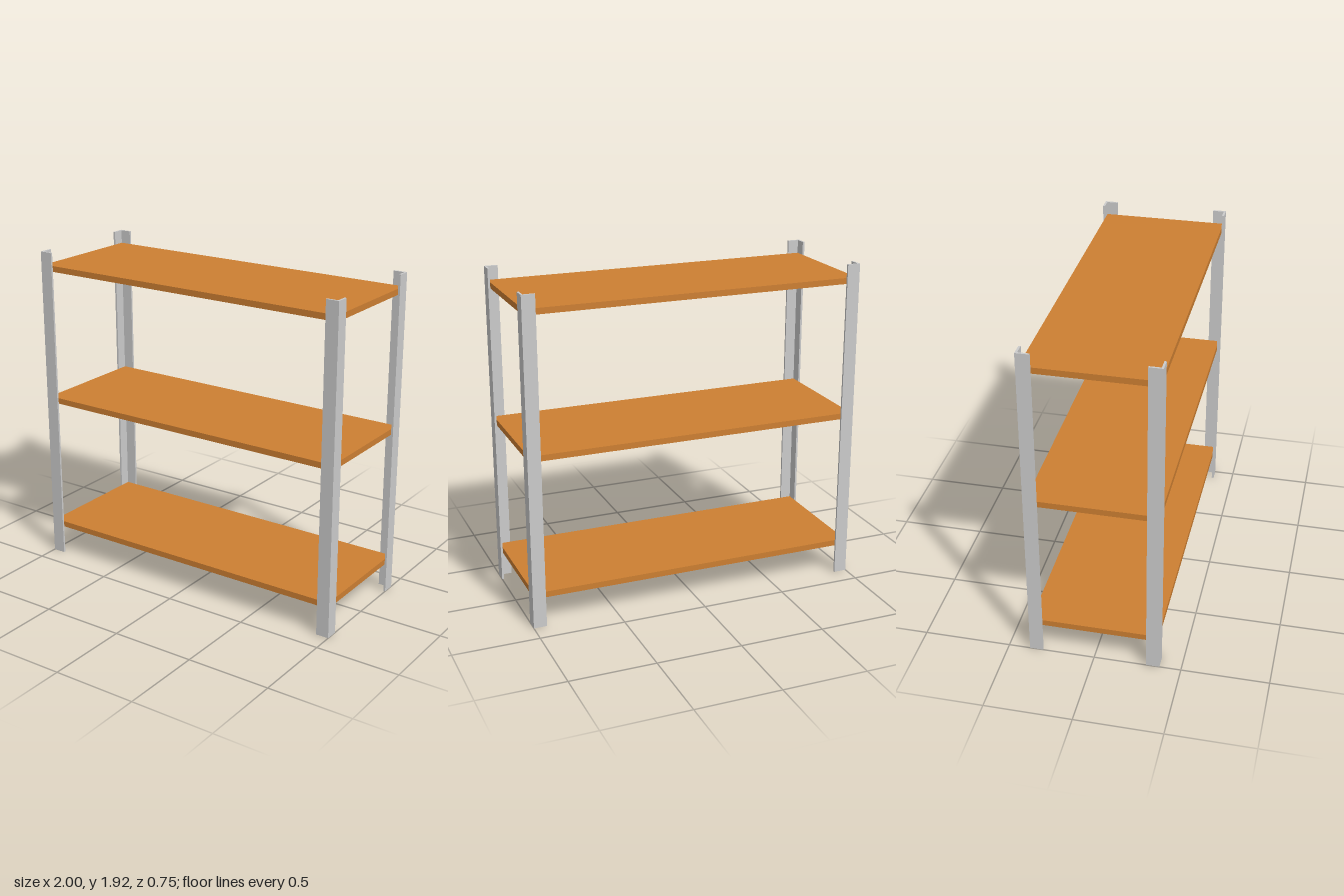
import * as THREE from 'three';

const HALF_W = 1, HALF_D = 0.377, HEIGHT = 1.925;
const FLANGE = 0.077, GAUGE = 0.012, SHELF_T = 0.035;

// L-section upright whose outer corner sits at (sx * HALF_W, sz * HALF_D)
function anglePost(sx, sz) {
  const section = [
    [0, 0], [FLANGE, 0], [FLANGE, GAUGE], [GAUGE, GAUGE], [GAUGE, FLANGE], [0, FLANGE],
  ].map(([a, b]) => new THREE.Vector2(sx * (HALF_W - a), -sz * (HALF_D - b)));
  const geometry = new THREE.ExtrudeGeometry(new THREE.Shape(section), {
    depth: HEIGHT, bevelEnabled: false,
  });
  return geometry.rotateX(-Math.PI / 2);
}

export function createModel() {
  const model = new THREE.Group();
  model.name = 'shelvingUnit';
  const steel = new THREE.MeshStandardMaterial({ color: 0xcccccc });
  const wood = new THREE.MeshStandardMaterial({ color: 0xcd7f32 });

  // Four corner uprights
  for (const sx of [-1, 1]) {
    for (const sz of [-1, 1]) {
      const post = new THREE.Mesh(anglePost(sx, sz), steel);
      post.name = (sz > 0 ? 'front' : 'back') + (sx > 0 ? 'Left' : 'Right') + 'Post';
      model.add(post);
    }
  }

  // Three boards fitted inside the uprights
  const board = new THREE.BoxGeometry(2 * (HALF_W - GAUGE), SHELF_T, 2 * (HALF_D - GAUGE));
  const levels = { bottomShelf: 0.192, middleShelf: 1.01, topShelf: 1.828 };
  for (const [name, y] of Object.entries(levels)) {
    const shelf = new THREE.Mesh(board, wood);
    shelf.name = name;
    shelf.position.y = y;
    model.add(shelf);
  }
  return model;
}
